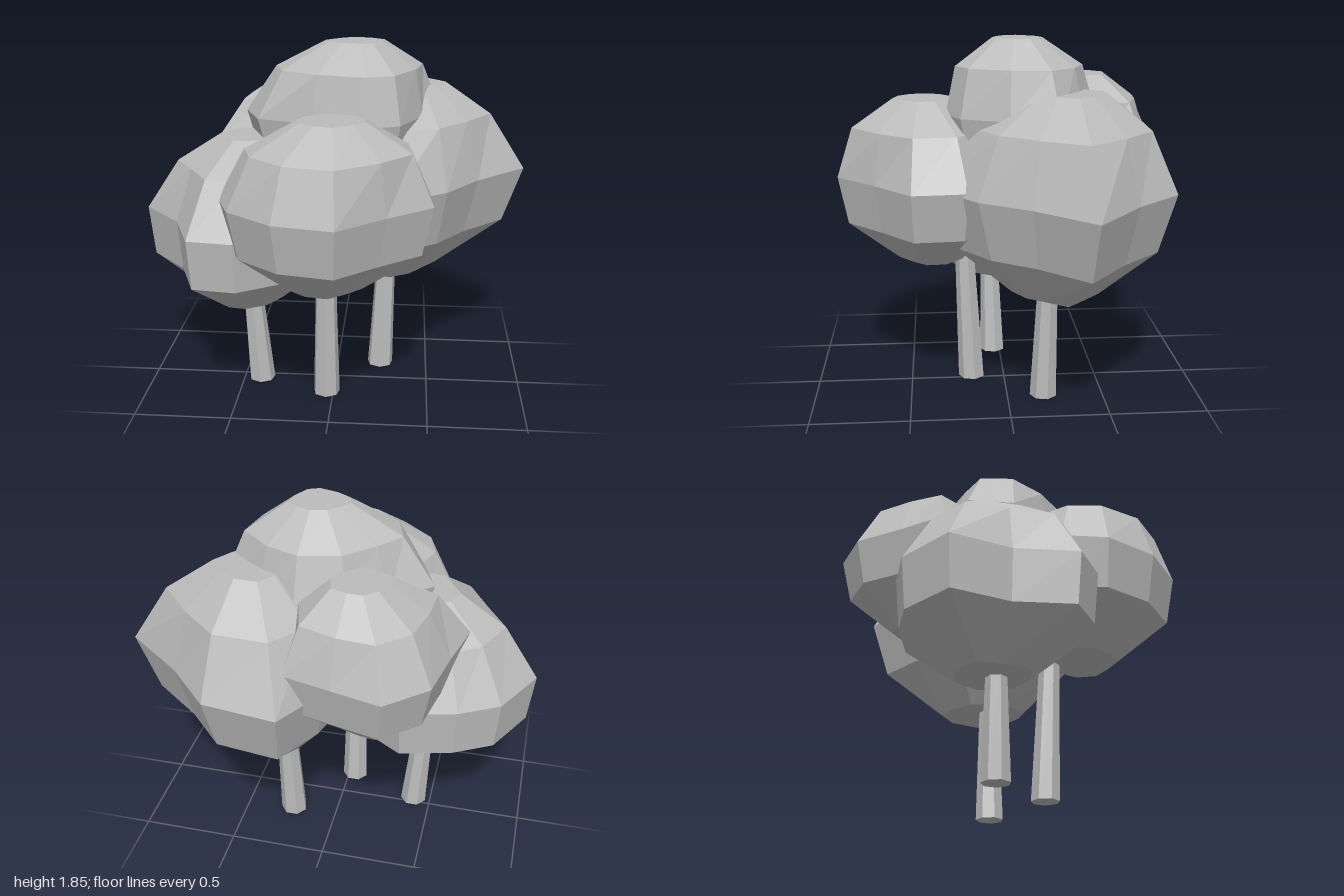
import * as THREE from 'three';

const grey = new THREE.MeshStandardMaterial({ color: 0xbcbcbc, flatShading: true });
grey.name = 'grey';

// Faceted foliage clump. outline: widest ring as [x, z] corners, going front to the model's left (+z to +x).
// base and top are the [x, z] centres of the caps; lower and upper are the ring widths beside the widest one.
function clump(name, y0, y1, base, top, lower, upper, outline) {
  const n = outline.length, pos = [], idx = [];
  // [height fraction, width fraction, roundness]
  const rings = [[0, 0.38, 0.3], [0.24, lower, 0], [0.53, 1, 0], [0.83, upper, 0.4], [1, 0.32, 0.4]];
  for (const [v, w, round] of rings) {
    const cx = THREE.MathUtils.lerp(base[0], top[0], v);
    const cz = THREE.MathUtils.lerp(base[1], top[1], v);
    const radii = outline.map(([x, z]) => Math.hypot(x - cx, z - cz));
    const mean = radii.reduce((a, b) => a + b) / n;
    outline.forEach(([x, z], i) => {
      const s = w * THREE.MathUtils.lerp(1, mean / radii[i], round);
      pos.push(cx + (x - cx) * s, y0 + (y1 - y0) * v, cz + (z - cz) * s);
    });
  }
  for (let r = 0; r < rings.length - 1; r++) {
    for (let i = 0; i < n; i++) {
      const a = r * n + i, b = r * n + (i + 1) % n;
      idx.push(a, b, b + n, a, b + n, a + n);
    }
  }
  // Flat caps
  const low = pos.length / 3, high = low + 1, last = (rings.length - 1) * n;
  pos.push(base[0], y0, base[1], top[0], y1, top[1]);
  for (let i = 0; i < n; i++) {
    const j = (i + 1) % n;
    idx.push(low, j, i, high, last + i, last + j);
  }
  const g = new THREE.BufferGeometry();
  g.setAttribute('position', new THREE.Float32BufferAttribute(pos, 3));
  g.setIndex(idx);
  const flat = g.toNonIndexed();
  flat.computeVertexNormals();
  const mesh = new THREE.Mesh(flat, grey);
  mesh.name = name;
  return mesh;
}

// Tapered trunk leaning from its foot to its top
function trunk(name, foot, top, height) {
  const h = height + 0.06;
  const g = new THREE.CylinderGeometry(0.051, 0.071, h, 7).translate(0, h / 2, 0);
  const p = g.attributes.position;
  for (let i = 0; i < p.count; i++) {
    const t = p.getY(i) / height;
    p.setX(i, p.getX(i) + THREE.MathUtils.lerp(foot[0], top[0], t));
    p.setZ(i, p.getZ(i) + THREE.MathUtils.lerp(foot[1], top[1], t));
  }
  g.computeVertexNormals();
  const mesh = new THREE.Mesh(g, grey);
  mesh.name = name;
  return mesh;
}

export function createModel() {
  const tree = new THREE.Group();
  tree.name = 'treeCluster';

  tree.add(
    trunk('rightTrunk', [-0.405, 0.04], [-0.44, 0.05], 0.49),
    trunk('frontTrunk', [-0.035, 0.175], [-0.035, 0.205], 0.7),
    trunk('leftTrunk', [0.24, -0.19], [0.262, -0.205], 0.59),
  );

  tree.add(
    clump('rightFoliage', 0.49, 1.38, [-0.46, 0.04], [-0.41, 0.04], 0.95, 0.74, [
      [-0.45, 0.55], [-0.18, 0.38], [0, 0.1], [-0.1, -0.28], [-0.38, -0.46],
      [-0.65, -0.39], [-0.85, -0.28], [-1, 0], [-0.79, 0.23], [-0.68, 0.52],
    ]),
    clump('frontFoliage', 0.7, 1.54, [-0.03, 0.37], [0.02, 0.42], 0.9, 0.79, [
      [0.06, 0.85], [0.28, 0.65], [0.5, 0.47], [0.48, 0.2], [0.22, 0],
      [-0.18, -0.05], [-0.45, 0.14], [-0.54, 0.4], [-0.46, 0.61], [-0.23, 0.79],
    ]),
    clump('leftFoliage', 0.59, 1.6, [0.28, -0.24], [0.37, -0.29], 0.85, 0.75, [
      [0.29, 0.36], [0.57, 0.16], [0.74, -0.08], [1, -0.34], [0.7, -0.57],
      [0.48, -0.8], [0.11, -0.85], [-0.05, -0.58], [-0.14, -0.28], [-0.03, 0.1],
    ]),
    clump('backFoliage', 0.87, 1.64, [-0.24, -0.4], [-0.15, -0.41], 0.88, 0.76, [
      [-0.2, 0], [0.05, -0.17], [0.15, -0.45], [0.12, -0.71], [-0.12, -0.77],
      [-0.36, -0.83], [-0.55, -0.66], [-0.6, -0.4], [-0.66, -0.15], [-0.48, -0.1],
    ]),
    clump('topFoliage', 1.06, 1.845, [0.07, -0.07], [0.11, -0.05], 0.88, 0.81, [
      [0.17, 0.3], [0.33, 0.23], [0.44, 0], [0.53, -0.23], [0.32, -0.37],
      [0.13, -0.45], [-0.11, -0.4], [-0.28, -0.25], [-0.47, -0.1], [-0.38, 0.12], [-0.1, 0.22],
    ]),
  );

  return tree;
}
